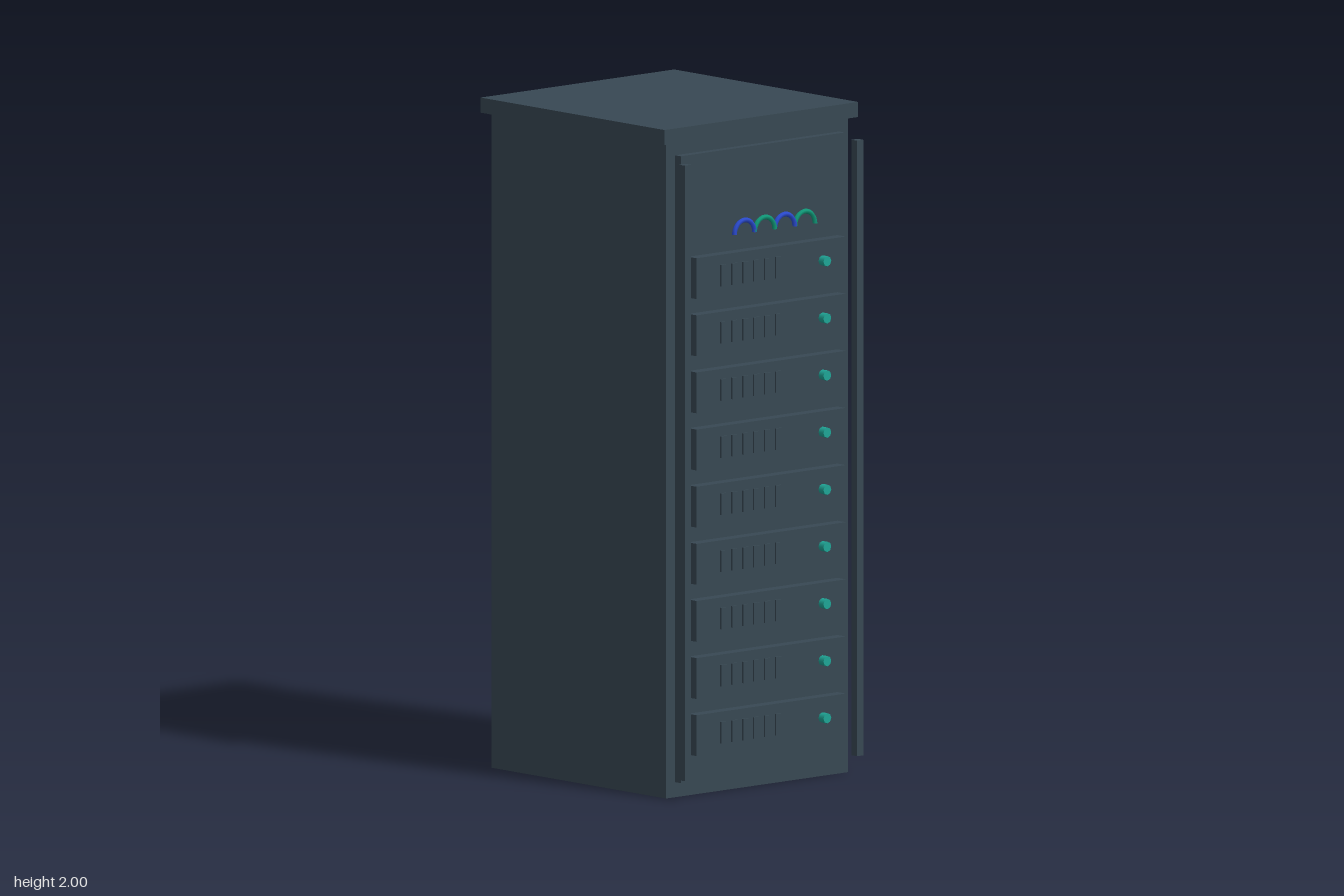
import * as THREE from 'three';

const mat = (name, color) => {
  const m = new THREE.MeshStandardMaterial({ color });
  m.name = name;
  return m;
};

export function createModel() {
  const slate = mat('slate', 0x384853);
  const teal = mat('lampTeal', 0x1fa596);
  const blue = mat('cableBlue', 0x2b4bd0);
  const green = mat('cableGreen', 0x109878);

  const root = new THREE.Group();
  root.name = 'serverRack';

  // Box given by its limits on each axis
  const box = (name, x0, x1, y0, y1, z0, z1, parent = root) => {
    const mesh = new THREE.Mesh(new THREE.BoxGeometry(x1 - x0, y1 - y0, z1 - z0), slate);
    mesh.position.set((x0 + x1) / 2, (y0 + y1) / 2, (z0 + z1) / 2);
    mesh.name = name;
    parent.add(mesh);
    return mesh;
  };

  // Cabinet, overhanging lid and raised front panel
  box('cabinet', -0.362, 0.362, 0, 1.955, -0.427, 0.338);
  box('lid', -0.385, 0.385, 1.955, 2, -0.45, 0.357);
  box('frontPanel', -0.326, 0.326, 0.045, 1.916, 0.33, 0.363);

  // Upright rails standing off both front corners
  for (const side of [-1, 1]) {
    const x = side * 0.3425;
    box(side > 0 ? 'leftRail' : 'rightRail', x - 0.0125, x + 0.0125, 0.06, 1.897, 0.388, 0.413);
  }

  // Nine server units, each with six vents and a status lamp
  const lampGeometry = new THREE.CylinderGeometry(0.0155, 0.0155, 0.027, 8).rotateX(Math.PI / 2);
  for (let i = 0; i < 9; i++) {
    const y = 0.188 + i * 0.1705;
    const unit = new THREE.Group();
    unit.name = `serverUnit${i + 1}`;
    root.add(unit);
    box('unitFace', -0.297, 0.297, y - 0.061, y + 0.061, 0.355, 0.4, unit);
    for (let j = 0; j < 6; j++) {
      const x = -0.1975 + j * 0.0437;
      box('vent', x - 0.011, x + 0.011, y - 0.032, y + 0.032, 0.405, 0.411, unit);
    }
    const lamp = new THREE.Mesh(lampGeometry, teal);
    lamp.position.set(0.2035, y, 0.4085);
    lamp.name = 'statusLamp';
    unit.add(lamp);
  }

  // Row of looped patch cables in alternating colours
  const cableGeometry = new THREE.TorusGeometry(0.04, 0.0075, 6, 16, Math.PI);
  for (let i = 0; i < 4; i++) {
    const cable = new THREE.Mesh(cableGeometry, i % 2 ? green : blue);
    cable.position.set(-0.1415 + i * 0.08, 1.675, 0.439);
    cable.name = `patchCable${i + 1}`;
    root.add(cable);
  }

  return root;
}
